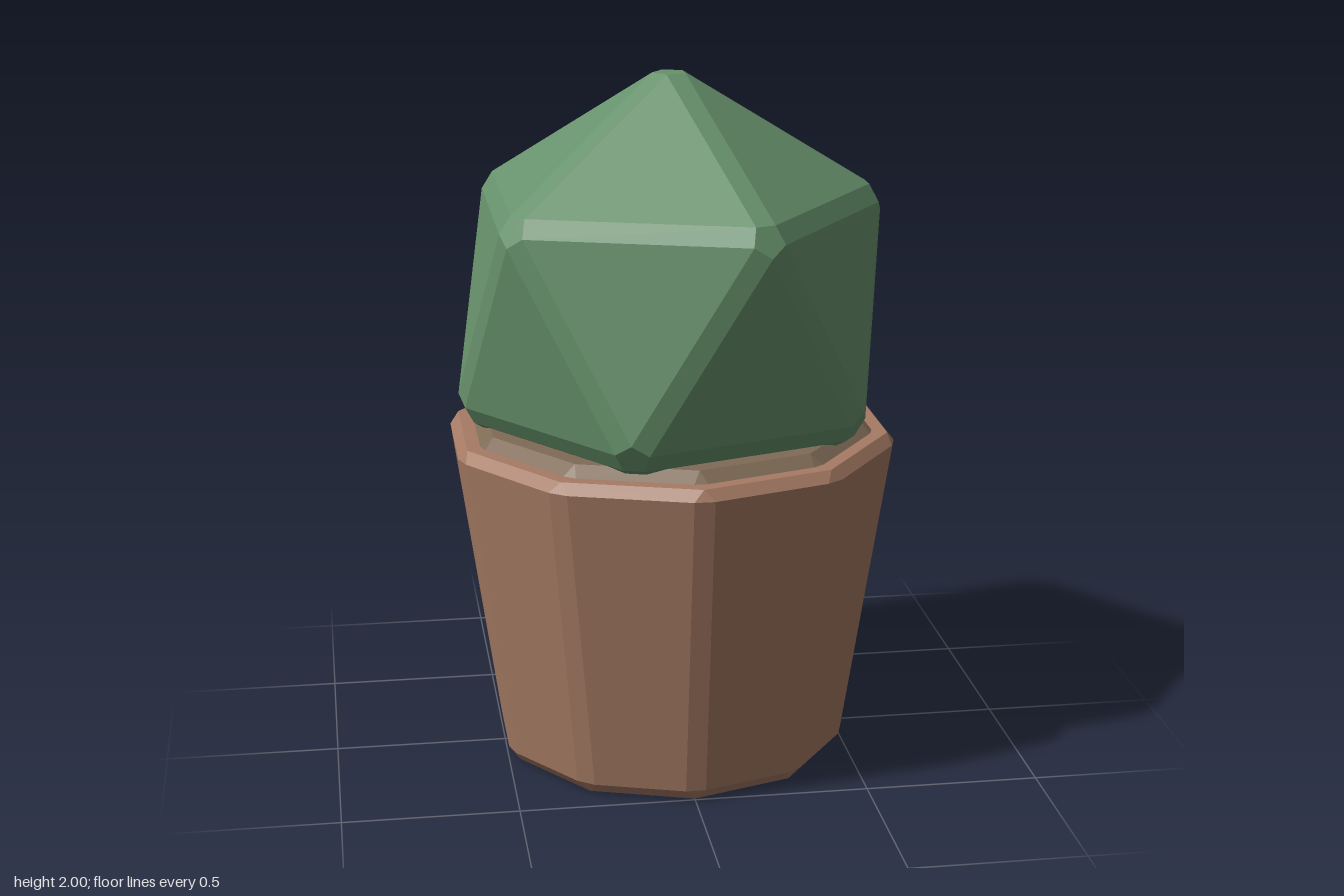
import * as THREE from 'three';
import { ConvexGeometry } from 'three/addons/geometries/ConvexGeometry.js';

const SIDES = 10;

// Ten-sided bevelled solid from rings [y, apothem, corner cut]
function bevelledPrism(rings) {
  const points = [];
  for (const [y, apothem, cut] of rings) {
    const radius = apothem / Math.cos(Math.PI / SIDES);
    const corner = (i) => {
      const a = (i / SIDES) * Math.PI * 2;
      return new THREE.Vector3(Math.sin(a) * radius, y, Math.cos(a) * radius);
    };
    for (let i = 0; i < SIDES; i++) {
      const c = corner(i);
      if (cut === 0) { points.push(c); continue; }
      for (const step of [-1, 1]) {
        const along = corner(i + step).sub(c).setLength(cut);
        points.push(c.clone().add(along));
      }
    }
  }
  return new ConvexGeometry(points);
}

// Icosahedron standing on a point, every triangle's corners pulled inward to bevel the edges
function bevelledIcosahedron(radius, inset) {
  const ringY = radius / Math.sqrt(5);
  const ringPoint = (turn, y) => {
    const a = (turn * Math.PI * 2) / 5;
    return new THREE.Vector3(Math.cos(a) * ringY * 2, y, Math.sin(a) * ringY * 2);
  };
  const upper = (i) => ringPoint(i, ringY);
  const lower = (i) => ringPoint(i + 0.5, -ringY);
  const top = new THREE.Vector3(0, radius, 0);
  const bottom = new THREE.Vector3(0, -radius, 0);

  const points = [];
  for (let i = 0; i < 5; i++) {
    const faces = [
      [top, upper(i), upper(i + 1)],
      [upper(i), upper(i + 1), lower(i)],
      [lower(i), lower(i + 1), upper(i + 1)],
      [bottom, lower(i), lower(i + 1)],
    ];
    for (const face of faces) {
      const centre = new THREE.Vector3();
      face.forEach((v) => centre.addScaledVector(v, 1 / 3));
      for (const v of face) {
        points.push(v.clone().add(centre.clone().sub(v).setLength(inset)));
      }
    }
  }
  return new ConvexGeometry(points);
}

export function createModel() {
  const terracotta = new THREE.MeshStandardMaterial({ color: 0xa67b64, flatShading: true });
  terracotta.name = 'terracotta';
  const earth = new THREE.MeshStandardMaterial({ color: 0x7f6a56, flatShading: true });
  earth.name = 'earth';
  const leaf = new THREE.MeshStandardMaterial({ color: 0x67926c, flatShading: true });
  leaf.name = 'leafGreen';

  const model = new THREE.Group();
  model.name = 'pottedPlant';
  const add = (name, geometry, material) => {
    const mesh = new THREE.Mesh(geometry, material);
    mesh.name = name;
    model.add(mesh);
    return mesh;
  };

  // Tapered pot with chamfered rim, foot and corners
  add('pot', bevelledPrism([
    [0, 0.468, 0],
    [0.035, 0.499, 0.03],
    [0.945, 0.63, 0.03],
    [0.975, 0.605, 0],
  ]), terracotta);

  // Soil slab rising just above the rim
  add('soil', bevelledPrism([
    [0.94, 0.566, 0.02],
    [0.975, 0.566, 0.02],
    [1.004, 0.53, 0],
  ]), earth);

  // Faceted plant, its lower point buried in the soil
  add('plant', bevelledIcosahedron(0.7, 0.063), leaf).position.y = 1.339;

  return model;
}
